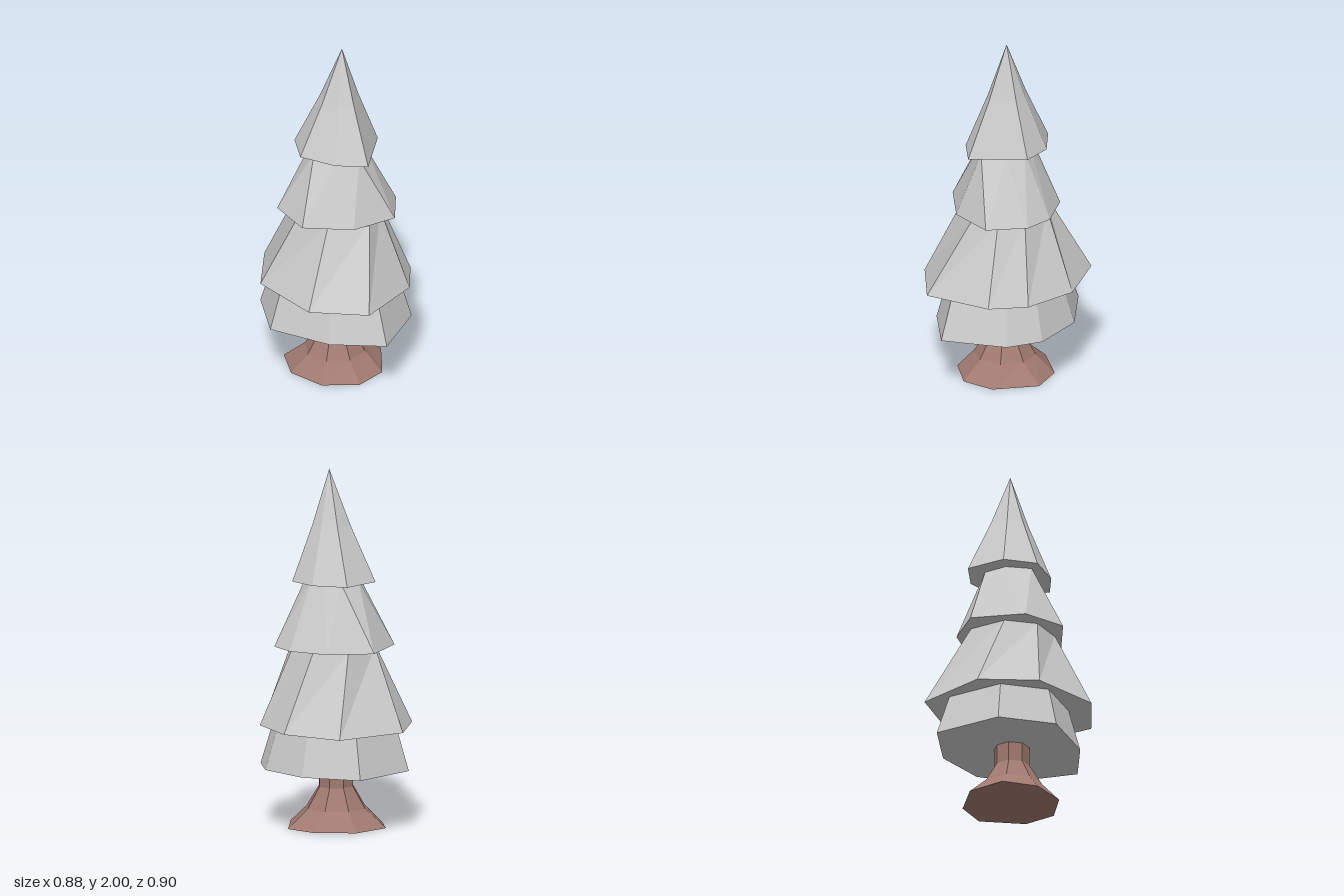
import * as THREE from 'three';

// Closed faceted solid through rings of [x, z] corners, listed from +x towards +z.
function loft(name, material, rings) {
  const positions = [];
  const at = (ring, i) => {
    const [x, z] = ring.points[i % ring.points.length];
    return [x, ring.y, z];
  };
  const same = (p, q) => p.every((v, k) => v === q[k]);
  const tri = (a, b, c) => {
    if (!same(a, b) && !same(b, c) && !same(a, c)) positions.push(...a, ...b, ...c);
  };
  const n = rings[0].points.length;
  const bottom = rings[0];
  const top = rings[rings.length - 1];
  for (let i = 0; i < n; i++) {
    for (let r = 0; r < rings.length - 1; r++) {
      const a = at(rings[r], i), b = at(rings[r], i + 1);
      const c = at(rings[r + 1], i), d = at(rings[r + 1], i + 1);
      tri(a, c, b);
      tri(b, c, d);
    }
    tri([0, bottom.y, 0], at(bottom, i), at(bottom, i + 1));
    // A pointed tier needs no lid
    if (!same(at(top, 0), at(top, 1))) tri([0, top.y, 0], at(top, i + 1), at(top, i));
  }
  const geometry = new THREE.BufferGeometry();
  geometry.setAttribute('position', new THREE.Float32BufferAttribute(positions, 3));
  geometry.computeVertexNormals();
  const mesh = new THREE.Mesh(geometry, material);
  mesh.name = name;
  return mesh;
}

// Moves a ring towards a point; t = 1 collapses it there.
const shrink = (points, t, [cx, cz] = [0, 0]) =>
  points.map(([x, z]) => [x + (cx - x) * t, z + (cz - z) * t]);

const octagon = (radius) => Array.from({ length: 8 }, (_, i) => {
  const a = (i * Math.PI) / 4;
  return [radius * Math.cos(a), radius * Math.sin(a)];
});

export function createModel() {
  const tree = new THREE.Group();
  tree.name = 'pineTree';
  const leaf = new THREE.MeshStandardMaterial({ color: 0xcccccc, flatShading: true });
  const bark = new THREE.MeshStandardMaterial({ color: 0xa17a70, flatShading: true });

  // Trunk flaring into an uneven foot
  const foot = [[0.28, 0.03], [0.2, 0.2], [0, 0.265], [-0.2, 0.18],
    [-0.295, 0], [-0.2, -0.2], [0.02, -0.28], [0.2, -0.22]];
  tree.add(loft('trunk', bark, [
    { y: 0, points: foot },
    { y: 0.1, points: octagon(0.172) },
    { y: 0.22, points: octagon(0.1) },
    { y: 0.34, points: octagon(0.1) },
  ]));

  // Lowest skirt of branches
  const skirt = [[0.385, 0.3], [0.075, 0.37], [-0.285, 0.3], [-0.43, 0],
    [-0.285, -0.37], [0.05, -0.395], [0.32, -0.255], [0.42, -0.07]];
  tree.add(loft('bottomBranches', leaf, [
    { y: 0.33, points: skirt },
    { y: 0.57, points: shrink(skirt, 0.17) },
  ]));

  // Widest tier, twisting slightly as it rises
  tree.add(loft('lowerBranches', leaf, [
    { y: 0.565, points: [[0.437, 0.03], [0.31, 0.39], [-0.02, 0.45], [-0.365, 0.22],
      [-0.44, -0.115], [-0.195, -0.455], [0.155, -0.4], [0.38, -0.185]] },
    { y: 1.015, points: [[0.26, 0], [0.24, 0.145], [0.03, 0.235], [-0.155, 0.17],
      [-0.23, 0], [-0.15, -0.2], [0.04, -0.24], [0.2, -0.14]] },
  ]));

  // Third tier, twisting further
  tree.add(loft('upperBranches', leaf, [
    { y: 1.01, points: [[0.36, 0.055], [0.18, 0.245], [-0.1, 0.305], [-0.295, 0.13],
      [-0.295, -0.18], [-0.06, -0.3], [0.17, -0.275], [0.3, -0.17]] },
    { y: 1.385, points: [[0.17, 0.108], [0.05, 0.13], [-0.085, 0.125], [-0.135, -0.01],
      [-0.08, -0.135], [0.02, -0.145], [0.1, -0.125], [0.167, -0.03]] },
  ]));

  // Pointed crown, slightly pinched at mid height
  const crown = [[0.24, 0.17], [0.06, 0.21], [-0.15, 0.17], [-0.235, -0.005],
    [-0.15, -0.22], [0.05, -0.24], [0.2, -0.155]];
  const tip = [0.035, -0.015];
  tree.add(loft('crown', leaf, [
    { y: 1.38, points: crown },
    { y: 1.69, points: shrink(crown, 0.54, tip) },
    { y: 2, points: crown.map(() => tip) },
  ]));

  return tree;
}
